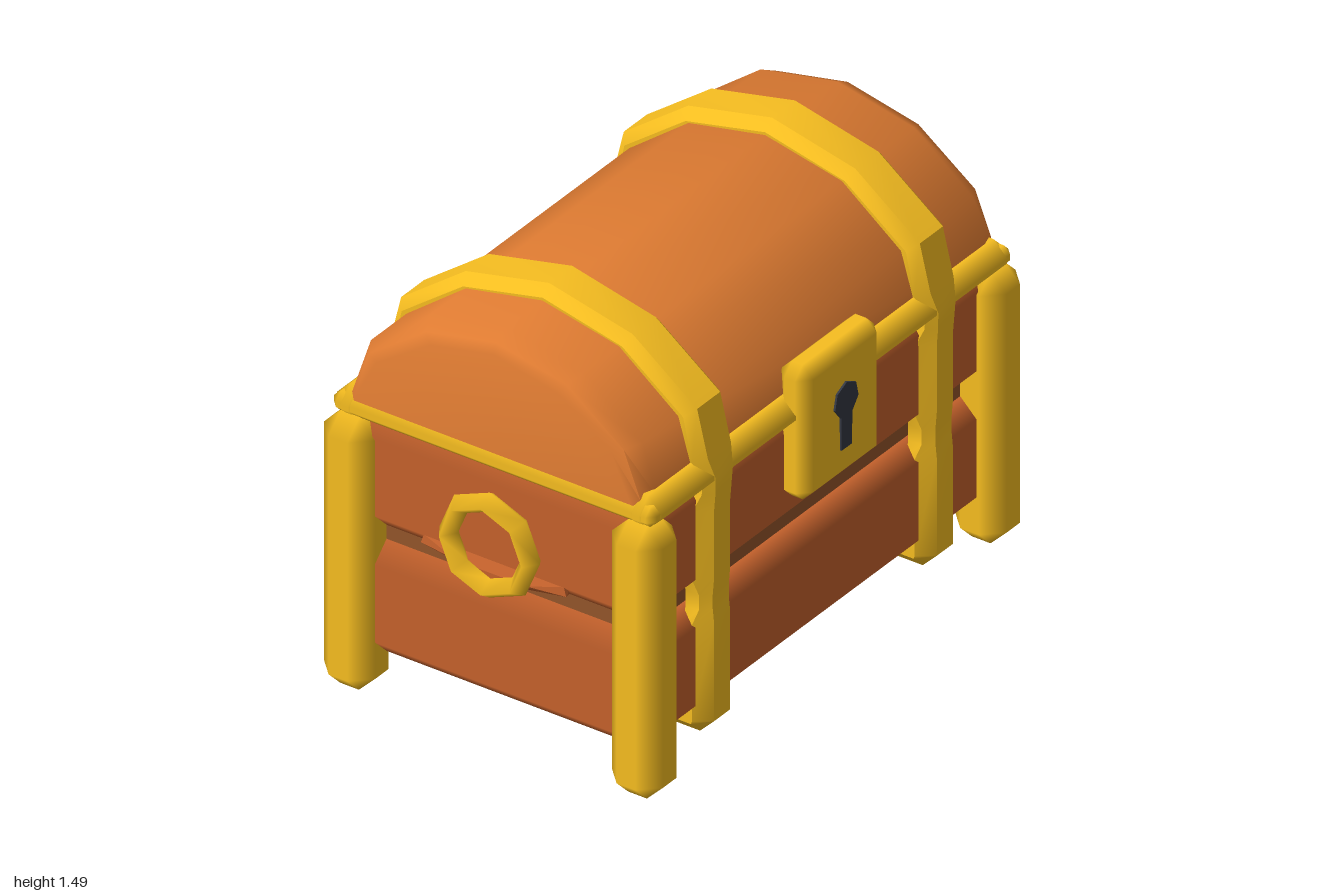
import * as THREE from 'three';
import { toCreasedNormals } from 'three/addons/utils/BufferGeometryUtils.js';
import { ConvexGeometry } from 'three/addons/geometries/ConvexGeometry.js';

const material = (color) => new THREE.MeshStandardMaterial({ color });

// Box with every edge cut at 45 degrees by c; flat faces, softly shaded cuts
function chamferBox(w, h, d, c) {
  const pts = [];
  const half = [w / 2, h / 2, d / 2];
  for (const sx of [-1, 1]) for (const sy of [-1, 1]) for (const sz of [-1, 1]) {
    for (let axis = 0; axis < 3; axis++) {
      const p = half.map((v, i) => (i === axis ? v : v - c));
      pts.push(new THREE.Vector3(sx * p[0], sy * p[1], sz * p[2]));
    }
  }
  const geo = new ConvexGeometry(pts);
  const { position, normal } = geo.attributes;
  for (let i = 0; i < position.count; i++) {
    const p = [position.getX(i), position.getY(i), position.getZ(i)];
    normal.setXYZ(i, ...p.map((v, a) => (Math.abs(v) > half[a] - c / 2 ? Math.sign(v) : 0)));
  }
  return geo;
}

// Skin a row of equal closed rings; either joined end to end or capped
function loft(rings, closed, crease) {
  const n = rings[0].length, m = rings.length, index = [];
  for (let i = 0; i < (closed ? m : m - 1); i++) {
    for (let j = 0; j < n; j++) {
      const a = i * n + j, b = i * n + (j + 1) % n;
      const k = (i + 1) % m, d = k * n + j, c = k * n + (j + 1) % n;
      index.push(a, b, c, a, c, d);
    }
  }
  if (!closed) {
    const e = (m - 1) * n;
    for (let k = 1; k < n - 1; k++) index.push(0, k + 1, k, e, e + k, e + k + 1);
  }
  const geo = new THREE.BufferGeometry();
  geo.setAttribute('position', new THREE.Float32BufferAttribute(rings.flat(2), 3));
  geo.setIndex(index);
  return toCreasedNormals(geo, crease);
}

// Barrel lid: faceted arch shrinking to a smaller cap at each end
function lidGeometry() {
  const mirrored = (half, top) => [...half, [0, top], ...half.map(([z, y]) => [-z, y]).reverse()];
  const arch = mirrored([[0.56, 0.98], [0.555, 1.04], [0.505, 1.21], [0.285, 1.38]], 1.44);
  const cap = mirrored([[0.53, 0.98], [0.515, 1.04], [0.435, 1.19], [0.235, 1.325]], 1.376);
  const stations = [[0.93, 1], [0.915, 0.45], [0.86, 0]];
  const all = [...stations, ...stations.map(([x, t]) => [-x, t]).reverse()];
  return loft(all.map(([x, t]) => arch.map(([z, y], i) =>
    [x, y + (cap[i][1] - y) * t, z + (cap[i][0] - z) * t])), false, 0.9);
}

// Strap looping around the whole chest: [z, y, half width, half width of the flat]
function strapGeometry() {
  const half = [
    [0.55, 0.08, 0.09, 0.045], [0.6, 0.13, 0.09, 0.042], [0.6, 0.48, 0.09, 0.042],
    [0.595, 0.53, 0.072, 0.042], [0.595, 0.58, 0.072, 0.042], [0.6, 0.64, 0.09, 0.042],
    [0.6, 0.88, 0.09, 0.042], [0.605, 0.94, 0.072, 0.042], [0.608, 1.0, 0.072, 0.045],
    [0.59, 1.07, 0.095, 0.06], [0.55, 1.235, 0.095, 0.06], [0.31, 1.415, 0.095, 0.06],
  ];
  const path = [...half, [0, 1.485, 0.095, 0.06], ...half.map(([z, ...rest]) => [-z, ...rest]).reverse()];
  const n = path.length;
  const rings = path.map(([z, y, w, f], i) => {
    const p = path[(i + n - 1) % n], q = path[(i + 1) % n];
    const out = new THREE.Vector2(q[1] - p[1], p[0] - q[0]).normalize();
    const c = f - w;
    const section = [[-w, -0.08], [-w, c], [-f, 0], [f, 0], [w, c], [w, -0.08]];
    return section.map(([x, o]) => [x, y + out.y * o, z + out.x * o]);
  });
  return loft(rings, true, 0.68);
}

// Small ledge swelling out of the plank below a handle (on the +x side)
function bulgeGeometry() {
  const pts = [];
  for (const s of [-1, 1]) {
    pts.push(new THREE.Vector3(0.928, 0.64, s * 0.26), new THREE.Vector3(0.93, 0.61, s * 0.27));
    pts.push(new THREE.Vector3(0.945, 0.605, s * 0.13), new THREE.Vector3(0.87, 0.58, s * 0.24));
    pts.push(new THREE.Vector3(0.87, 0.64, s * 0.26));
  }
  pts.push(new THREE.Vector3(0.945, 0.58, 0), new THREE.Vector3(0.88, 0.53, 0));
  return new ConvexGeometry(pts);
}

// Keyhole outline: round top with a straight slot below
function keyholeGeometry() {
  const s = new THREE.Shape();
  s.moveTo(-0.027, -0.17);
  s.lineTo(0.027, -0.17);
  for (let i = 0; i <= 6; i++) {
    const a = -1.1 + i * (Math.PI + 2.2) / 6;
    s.lineTo(0.062 * Math.cos(a), 0.062 * Math.sin(a));
  }
  s.lineTo(-0.027, -0.17);
  return new THREE.ExtrudeGeometry(s, { depth: 0.03, bevelEnabled: false });
}

export function createModel() {
  const group = new THREE.Group();
  const chest = new THREE.Group();
  chest.name = 'chest';
  chest.position.z = -0.01;
  group.add(chest);

  const lidWood = material(0xe07c32), wood = material(0xc6622c), darkWood = material(0x94552a);
  const gold = material(0xf7be20), dark = material(0x343843);
  const add = (name, geo, mat, x = 0, y = 0, z = 0) => {
    const mesh = new THREE.Mesh(geo, mat);
    mesh.name = name;
    mesh.position.set(x, y, z);
    chest.add(mesh);
    return mesh;
  };

  // Body planks around a recessed core
  add('lowerPlanks', chamferBox(1.86, 0.4, 1.12, 0.06), wood, 0, 0.33, 0);
  add('upperPlanks', chamferBox(1.86, 0.4, 1.12, 0.06), wood, 0, 0.78, 0);
  add('core', new THREE.BoxGeometry(1.74, 0.8, 1.0), darkWood, 0, 0.532, 0);
  add('lid', lidGeometry(), lidWood);

  // Rim between body and lid
  for (const s of [-1, 1]) {
    add('rimLong', chamferBox(1.9, 0.12, 0.13, 0.052), gold, 0, 1.0, s * 0.54);
    add('rimSide', chamferBox(0.09, 0.07, 1.2, 0.025), gold, s * 0.9, 1.0, 0);
  }

  // Corner posts
  const post = chamferBox(0.19, 0.97, 0.19, 0.06);
  for (const sx of [-1, 1]) for (const sz of [-1, 1])
    add('cornerPost', post, gold, sx * 0.895, 0.485, sz * 0.535);

  // Straps
  const strap = strapGeometry();
  for (const s of [-1, 1]) add('strap', strap, gold, s * 0.58);

  // Ring handles, each above a small ledge of the upper plank
  const ring = new THREE.TorusGeometry(0.153, 0.034, 4, 8);
  ring.rotateY(Math.PI / 2).scale(1.5, 1, 1);
  const bulge = bulgeGeometry();
  for (const s of [-1, 1]) {
    add('ringHandle', ring, gold, s * 0.949, 0.707, 0);
    add('plankLedge', bulge, wood).rotation.y = s > 0 ? 0 : Math.PI;
  }

  // Lock plate and keyhole
  add('lockPlate', chamferBox(0.41, 0.48, 0.12, 0.04), gold, 0, 0.93, 0.583);
  add('keyhole', keyholeGeometry(), dark, 0, 0.98, 0.62);

  return group;
}
